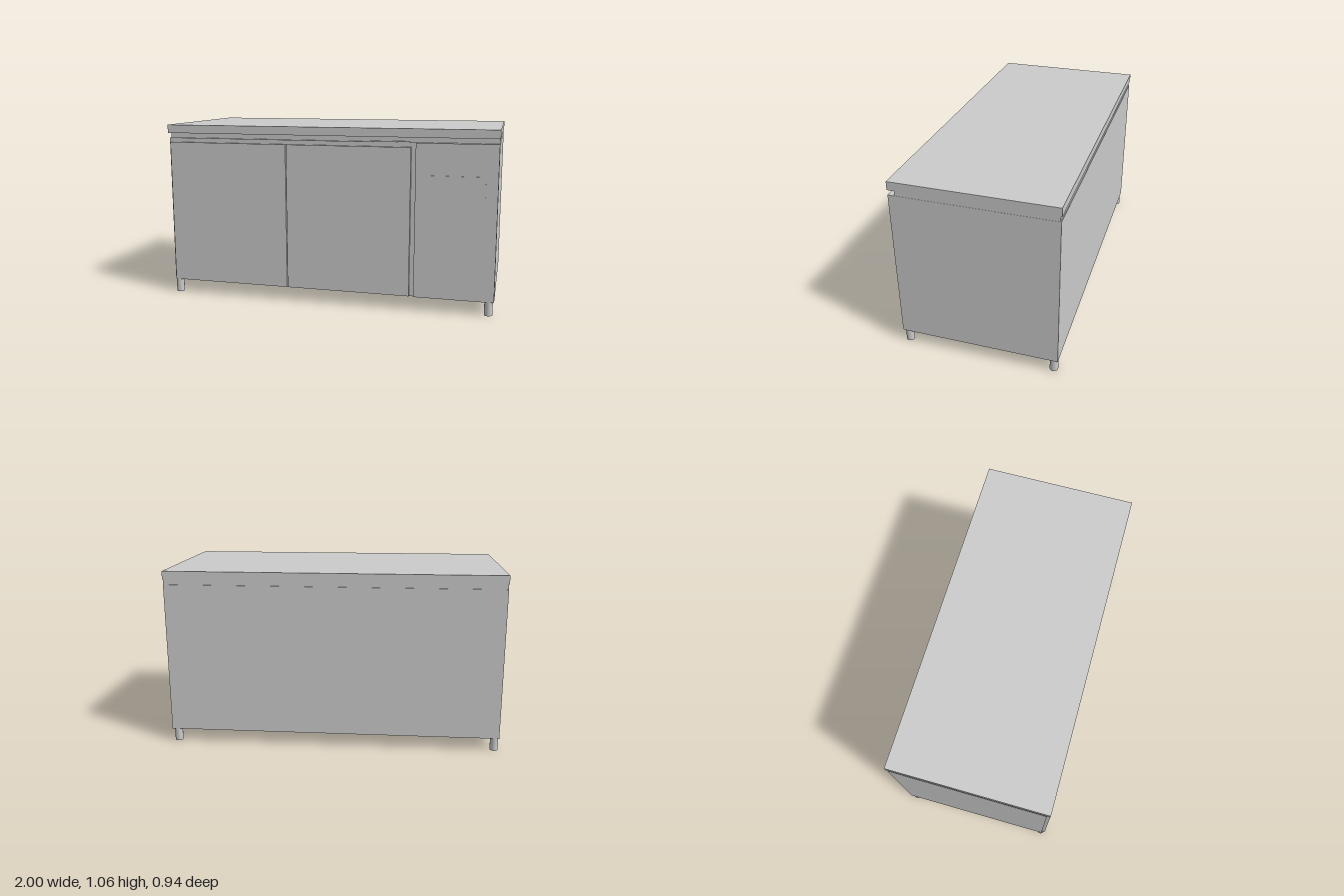
import * as THREE from 'three';

export function createModel() {
  const group = new THREE.Group();
  group.name = 'refrigeratedCounter';
  const material = new THREE.MeshStandardMaterial({ color: 0xcccccc });

  // Adds a box given its lower and upper limits on each axis
  function box(name, [x0, x1], [y0, y1], [z0, z1]) {
    const mesh = new THREE.Mesh(new THREE.BoxGeometry(x1 - x0, y1 - y0, z1 - z0), material);
    mesh.position.set((x0 + x1) / 2, (y0 + y1) / 2, (z0 + z1) / 2);
    mesh.name = name;
    group.add(mesh);
  }

  // Worktop over a recessed neck
  box('worktop', [-1, 1], [1.02, 1.07], [-0.469, 0.466]);
  box('neck', [-0.997, 0.997], [0.98, 1.03], [-0.462, 0.427]);

  // Cabinet body, with its front set back behind the doors
  box('cabinet', [-0.998, 0.998], [0.088, 0.99], [-0.466, 0.447]);

  // Two doors with a narrow gap between them
  box('leftDoor', [-0.985, -0.24], [0.092, 0.964], [0.44, 0.467]);
  box('rightDoor', [-0.235, 0.508], [0.092, 0.964], [0.44, 0.467]);

  // Side machine compartment cover with a shallow plate
  box('compartmentPanel', [0.535, 0.997], [0.09, 0.99], [0.43, 0.466]);
  box('controlPlate', [0.585, 0.93], [0.676, 0.808], [0.46, 0.47]);

  // Thin strip lying on the ledge under the worktop
  box('ledgeStrip', [0.27, 0.495], [0.985, 0.995], [0.42, 0.445]);

  // Four round legs
  const legGeometry = new THREE.CylinderGeometry(0.024, 0.024, 0.082, 32);
  for (const x of [-0.972, 0.967]) {
    for (const z of [-0.438, 0.438]) {
      const leg = new THREE.Mesh(legGeometry, material);
      leg.position.set(x, 0.049, z);
      leg.name = 'leg';
      group.add(leg);
    }
  }
  return group;
}
